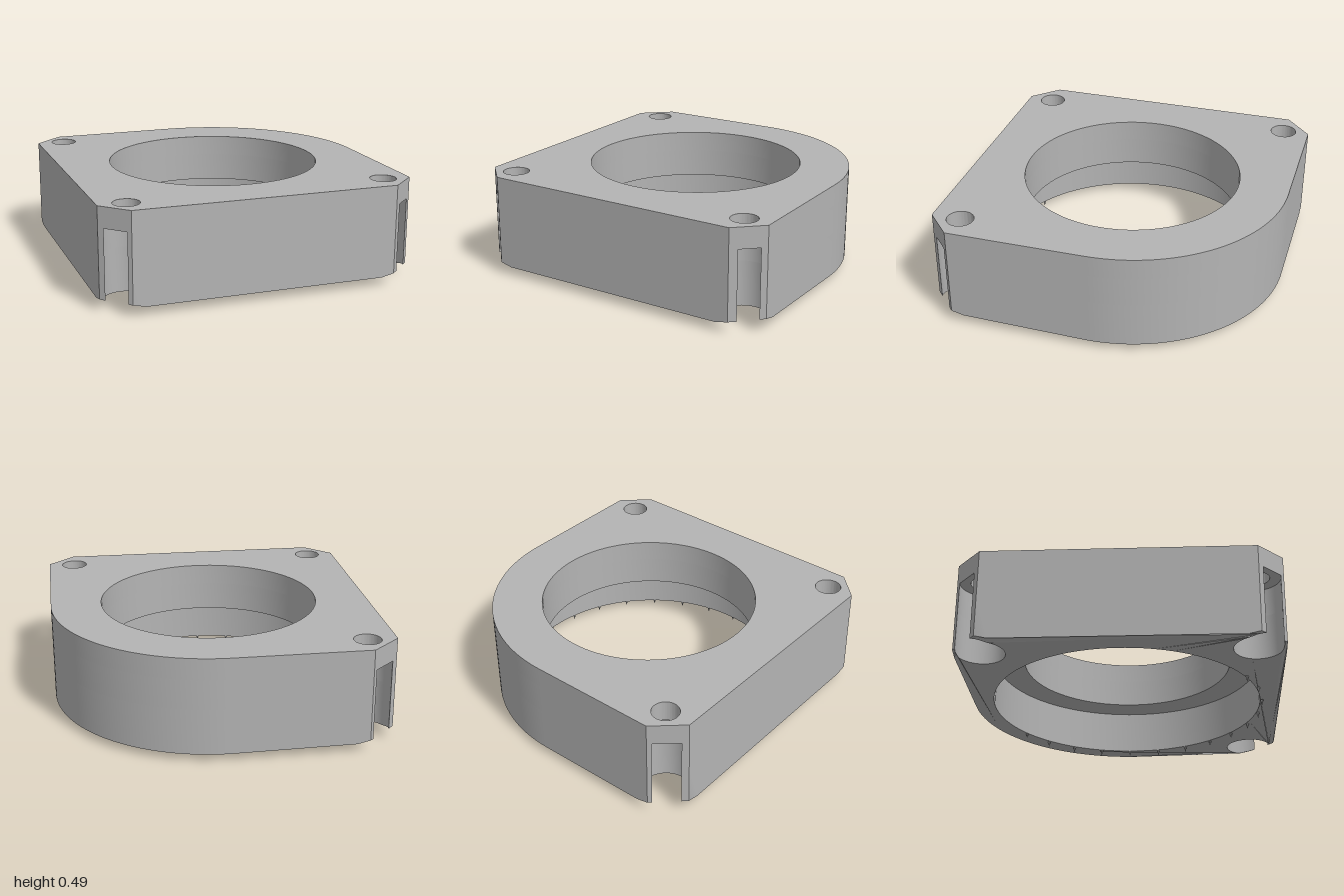
import * as THREE from 'three';
import { toCreasedNormals } from 'three/addons/utils/BufferGeometryUtils.js';

const V = (x, z) => new THREE.Vector2(x, z); // plan coordinates (x, z)
const CENTRE = V(-0.005, -0.12);
const OUTER = 0.76, BORE = 0.52, COUNTERBORE = 0.663;
const SCREW = 0.063, POCKET = 0.115;

// Each corner: screw centre and the two ends of the blunt corner face
const CORNERS = [
  { c: V(-0.89, -0.22), p: V(-0.97, -0.32), q: V(-1.0, -0.14) },
  { c: V(-0.1, 0.765), p: V(-0.2, 0.853), q: V(-0.03, 0.872) },
  { c: V(0.883, -0.025), p: V(0.972, 0.08), q: V(0.997, -0.09) },
];

// Corner face interrupted by an open round screw pocket
function pocketPoints({ c, p, q }) {
  const d = q.clone().sub(p).normalize();
  const foot = p.clone().addScaledVector(d, c.clone().sub(p).dot(d));
  const n = foot.clone().sub(c);
  const a = Math.acos(n.length() / POCKET);
  n.normalize();
  const pts = [];
  for (let i = 0; i <= 28; i++) {
    const t = a + (2 * Math.PI - 2 * a) * i / 28;
    pts.push(c.clone().addScaledVector(n, POCKET * Math.cos(t)).addScaledVector(d, -POCKET * Math.sin(t)));
  }
  return pts;
}

// Rounded back, three straight-sided corners
function outline(open) {
  const pts = [];
  const a0 = Math.atan2(-0.629, 0.778), a1 = Math.atan2(-0.778, -0.629);
  for (let i = 0; i <= 40; i++) {
    const a = a0 + (a1 - a0) * i / 40;
    pts.push(V(CENTRE.x + OUTER * Math.cos(a), CENTRE.y + OUTER * Math.sin(a)));
  }
  const start = pts[0];
  CORNERS.forEach((k, i) => {
    const prev = pts[pts.length - 1];
    const next = i < 2 ? CORNERS[i + 1].p : start;
    const near = (from, to) => from.clone().addScaledVector(to.clone().sub(from).normalize(), 0.06);
    pts.push(near(k.p, prev), k.p);
    if (open) pts.push(...pocketPoints(k));
    pts.push(k.q, near(k.q, next));
  });
  return pts.map(v => V(v.x, -v.y));
}

function layer(y0, y1, bore, open) {
  const shape = new THREE.Shape(outline(open));
  const hole = (c, r) => shape.holes.push(new THREE.Path().absarc(c.x, -c.y, r, 0, Math.PI * 2, true));
  hole(CENTRE, bore);
  if (!open) CORNERS.forEach(k => hole(k.c, SCREW));
  const g = new THREE.ExtrudeGeometry(shape, { depth: y1 - y0, bevelEnabled: false, curveSegments: 48 });
  return g.rotateX(-Math.PI / 2).translate(0, y0, 0);
}

// Slightly bowed underside, lifting at the corner tips
function bowUnderside(g, y0) {
  const pos = g.attributes.position;
  for (let i = 0; i < pos.count; i++) {
    if (pos.getY(i) > y0 + 0.001) continue;
    const d = Math.hypot(pos.getX(i) - CENTRE.x, pos.getZ(i) - CENTRE.y);
    pos.setY(i, y0 + 0.01 * d * d + Math.max(0, d - 0.94) * 0.35);
  }
  return g;
}

export function createModel() {
  const model = new THREE.Group();
  model.name = 'flangeSpacer';
  const grey = new THREE.MeshStandardMaterial({ color: 0xb4b4b4 });
  grey.name = 'grey';
  const add = (name, geometry) => {
    const mesh = new THREE.Mesh(toCreasedNormals(geometry, 0.4), grey);
    mesh.name = name;
    model.add(mesh);
    return mesh;
  };

  add('counterboredBase', bowUnderside(layer(0.028, 0.25, COUNTERBORE, true), 0.028));
  add('pocketedBody', layer(0.25, 0.39, BORE, true));
  add('topPlate', layer(0.39, 0.49, BORE, false));

  // Little burrs hanging from the counterbore rim
  for (let i = 0; i < 14; i++) {
    const a = -1.65 + i * 0.235;
    const h = 0.026 + 0.01 * Math.abs(Math.sin(i * 2.3));
    const burr = add('rimBurr', new THREE.ConeGeometry(0.009, h, 5).rotateX(Math.PI));
    const r = COUNTERBORE + 0.01;
    burr.position.set(CENTRE.x + r * Math.cos(a), 0.036 - h / 2, CENTRE.y + r * Math.sin(a));
  }
  return model;
}
